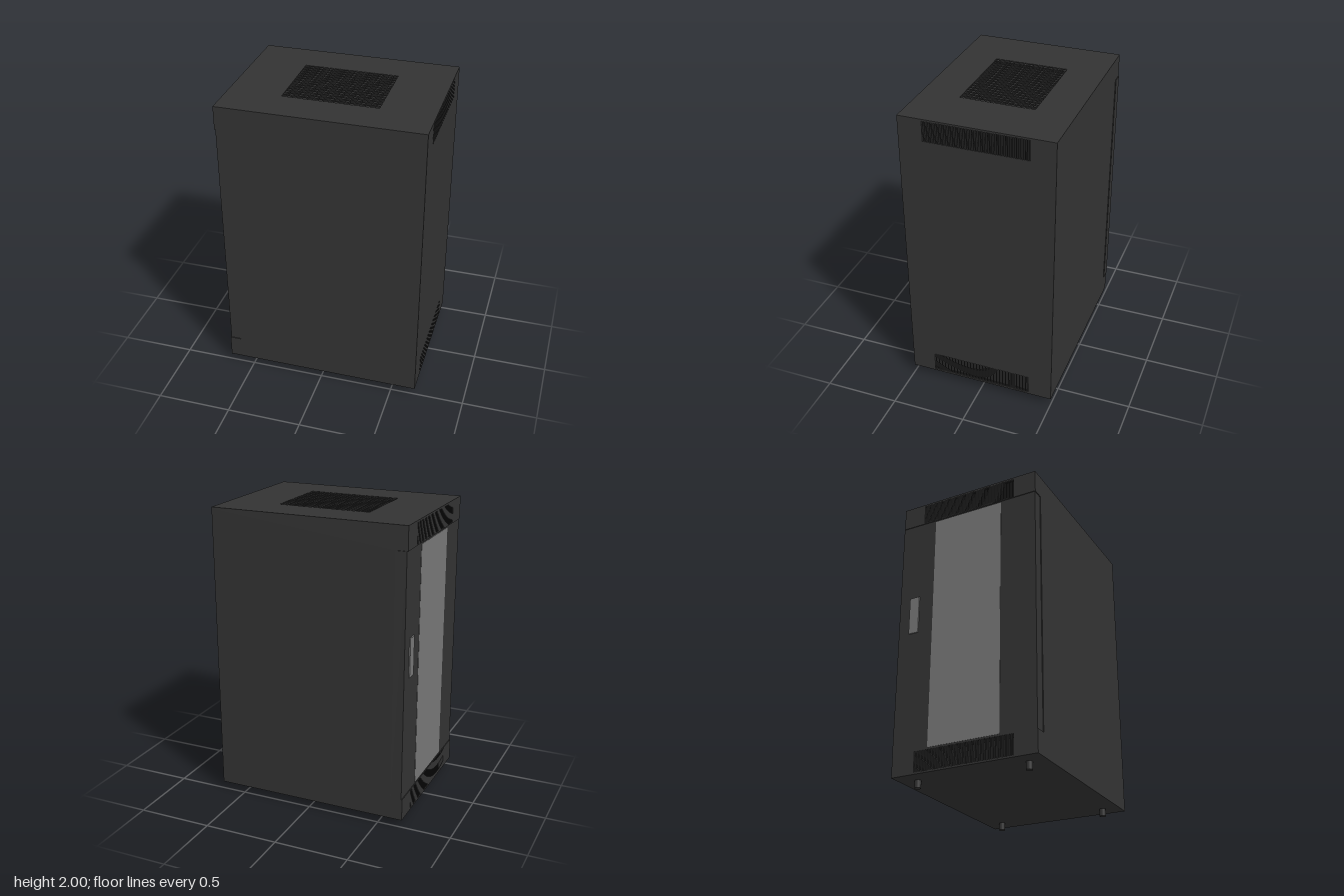
import * as THREE from 'three';

const T = 0.008;                       // sheet thickness
const X = 0.667, ZB = -0.5, ZF = 0.505; // cabinet extents
const Y0 = 0.05, Y1 = 2;
const DOOR_Y0 = 0.2, DOOR_Y1 = 1.845, DOOR_X = -0.59;
const ZC = (ZB + ZF) / 2, DEPTH = ZF - ZB;

function rectPath(PathType, x0, y0, x1, y1) {
  const p = new PathType();
  p.moveTo(x0, y0);
  p.lineTo(x1, y0);
  p.lineTo(x1, y1);
  p.lineTo(x0, y1);
  p.closePath();
  return p;
}

const sheet = (shape) => new THREE.ExtrudeGeometry(shape, { depth: T, bevelEnabled: false });

// Cut a row of narrow vertical slits into a side sheet
function cutSlits(shape, y0, y1) {
  const count = 62, pitch = 0.69 / count;
  for (let i = 0; i < count; i++) {
    const u = -0.345 + (i + 0.25) * pitch;
    shape.holes.push(rectPath(THREE.Path, u, y0, u + pitch / 2, y1));
  }
}

export function createModel() {
  const group = new THREE.Group();
  const body = new THREE.MeshStandardMaterial({ color: 0x333333 });
  body.name = 'charcoal metal';
  const grey = new THREE.MeshStandardMaterial({ color: 0x777777 });
  grey.name = 'grey glass';

  function add(name, geometry, material, x = 0, y = 0, z = 0) {
    const mesh = new THREE.Mesh(geometry, material);
    mesh.name = name;
    mesh.position.set(x, y, z);
    group.add(mesh);
    return mesh;
  }
  function box(name, material, x0, x1, y0, y1, z0, z1) {
    return add(name, new THREE.BoxGeometry(x1 - x0, y1 - y0, z1 - z0), material,
      (x0 + x1) / 2, (y0 + y1) / 2, (z0 + z1) / 2);
  }

  // Floor and perforated roof
  box('floor', body, -X, X, Y0, Y0 + T, ZB, ZF);
  const roof = rectPath(THREE.Shape, -X, -DEPTH / 2, X, DEPTH / 2);
  const cols = 19, rows = 15, pitch = 0.0333, hole = 0.0275;
  for (let c = 0; c < cols; c++) {
    for (let r = 0; r < rows; r++) {
      const x = (c - (cols - 1) / 2) * pitch, y = (r - (rows - 1) / 2) * pitch;
      roof.holes.push(rectPath(THREE.Path, x - hole / 2, y - hole / 2, x + hole / 2, y + hole / 2));
    }
  }
  add('perforatedRoof', sheet(roof).rotateX(-Math.PI / 2), body, 0, Y1 - T, ZC);

  // Front and back walls, notched where the door wraps round
  const lo = Y0 + T, hi = Y1 - T;
  const wall = new THREE.Shape([
    [-X, lo], [X, lo], [X, hi], [-X, hi], [-X, DOOR_Y1],
    [DOOR_X, DOOR_Y1], [DOOR_X, DOOR_Y0], [-X, DOOR_Y0],
  ].map(([x, y]) => new THREE.Vector2(x, y)));
  add('frontWall', sheet(wall), body, 0, 0, ZF - T);
  add('backWall', sheet(wall), body, 0, 0, ZB);

  // Left wall with slits at top and bottom; slit bands above and below the door
  const half = DEPTH / 2 - T;
  const vents = [[lo, DOOR_Y0, 0.062, 0.196], [DOOR_Y1, hi, 1.852, 1.988]];
  const side = rectPath(THREE.Shape, -half, lo, half, hi);
  vents.forEach(([, , a, b]) => cutSlits(side, a, b));
  add('leftVentedWall', sheet(side).rotateY(Math.PI / 2), body, X - T, 0, ZC);
  vents.forEach(([y0, y1, a, b], i) => {
    const band = rectPath(THREE.Shape, -half, y0, half, y1);
    cutSlits(band, a, b);
    add(i ? 'upperVentBand' : 'lowerVentBand', sheet(band).rotateY(Math.PI / 2), body, -X, 0, ZC);
  });

  // Door, offset slightly towards the back, with window and handle
  box('door', body, -0.662, DOOR_X, DOOR_Y0, DOOR_Y1, -0.505, 0.5);
  box('doorWindow', grey, -0.664, -0.66, 0.21, 1.835, -0.25, 0.25);
  box('doorHandle', grey, -0.67, -0.66, 1.02, 1.28, -0.425, -0.355);

  // Feet
  for (const x of [-0.55, 0.55]) {
    for (const z of [-0.38, 0.39]) {
      add('foot', new THREE.CylinderGeometry(0.021, 0.021, Y0, 20), body, x, Y0 / 2, z);
    }
  }
  return group;
}
